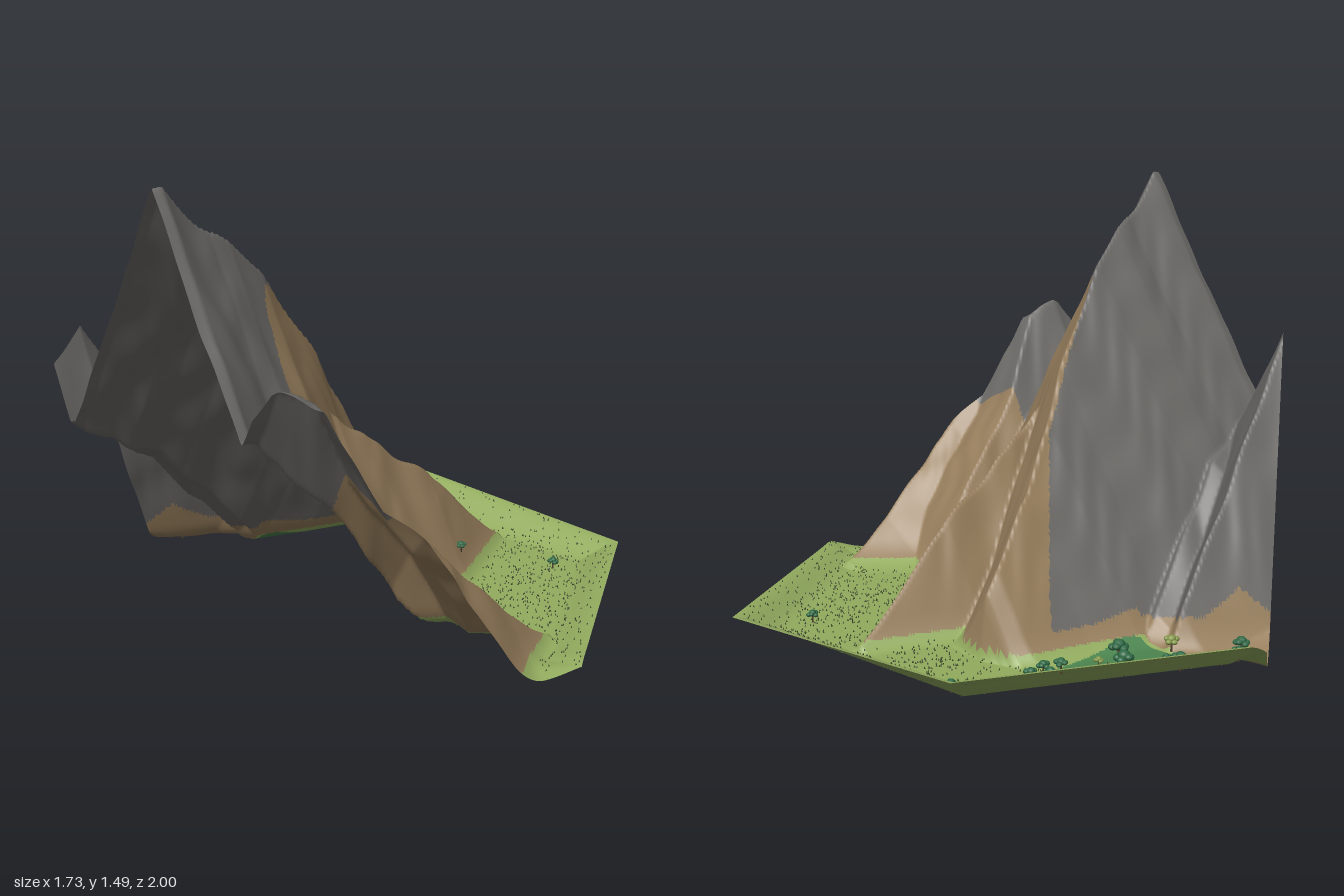
import * as THREE from 'three';
import { mergeGeometries } from 'three/addons/utils/BufferGeometryUtils.js';

const mat = (name, color, side = THREE.DoubleSide) => {
  const m = new THREE.MeshStandardMaterial({ color, side });
  m.name = name;
  return m;
};

// Linear lookup of column c in rows sorted by column 0
function lookup(rows, t, c) {
  if (t <= rows[0][0]) return rows[0][c];
  for (let i = 1; i < rows.length; i++) {
    const a = rows[i - 1], b = rows[i];
    if (t <= b[0]) return a[c] + (b[c] - a[c]) * (t - a[0]) / (b[0] - a[0]);
  }
  return rows[rows.length - 1][c];
}

// Each ridge: crest points [x, z, height], slope towards -z and towards +z
const ridge = (north, south, ...crest) => ({ north, south, crest, end: crest[crest.length - 1][0] });
const mainRidge = ridge(1.7, 1.8, [-0.87, 0.07, 1.49], [-0.83, 0.07, 1.5], [-0.64, 0.035, 1.34], [-0.55, 0.02, 1.3],
  [-0.4, -0.01, 1.19], [-0.1, -0.09, 0.86], [0.03, -0.145, 0.71], [0.2, -0.2, 0.5], [0.4, -0.25, 0.3],
  [0.45, -0.25, 0.23], [0.48, -0.25, 0]);
const spur = ridge(1.95, 1.85, [-0.3, 0.07, 0.74], [-0.15, 0.07, 0.69], [0, 0.07, 0.57], [0.3, 0.07, 0.38], [0.7, 0.07, 0.03]);
const backRidge = ridge(1.85, 2, [-0.87, -0.53, 0.93], [-0.7, -0.6, 0.97], [-0.45, -0.62, 0.64], [-0.05, -0.65, 0.15], [0.02, -0.65, 0]);
const backGully = ridge(0.8, 0.8, [-0.87, -0.4, 0.71], [-0.65, -0.43, 0.57], [-0.5, -0.45, 0.52], [-0.04, -0.55, 0.11], [0.02, -0.55, 0]);
const frontRidge = ridge(2, 0.55, [-0.87, 0.52, 0.94], [-0.8, 0.53, 0.98], [-0.69, 0.56, 0.94], [-0.5, 0.49, 0.63],
  [-0.2, 0.46, 0.33], [0, 0.47, 0]);
const frontBench = ridge(0.75, 1.65, [-0.6, 0.66, 0.66], [-0.43, 0.75, 0.49], [-0.35, 0.76, 0.43], [-0.08, 0.77, 0.18], [0.13, 0.77, 0.02]);
const ridges = [mainRidge, spur, backRidge, backGully, frontRidge, frontBench];

const S = THREE.MathUtils.smoothstep;
const edgeDistance = (x, z) =>
  0.866 - Math.max(Math.abs(x), Math.abs(x * 0.5 + z * 0.866), Math.abs(x * 0.5 - z * 0.866));

function mountain(x, z) {
  let h = -1;
  for (const r of ridges) {
    if (x > r.end) continue;
    const dz = z - lookup(r.crest, x, 1);
    h = Math.max(h, lookup(r.crest, x, 2) - (dz < 0 ? -dz * r.north : dz * r.south));
  }
  const rough = 0.008 * Math.sin(17 * x + 6 * z + 2 * Math.sin(8 * z + 3 * x))
    + 0.006 * Math.sin(29 * x - 5 * z + 2 * Math.sin(13 * z))
    + 0.003 * Math.sin(61 * z + 23 * x + 2 * Math.sin(19 * x));
  return h + rough * S(h, 0.05, 0.35);
}

// Gently dished meadow with a raised rim
function ground(x, z) {
  const rim = THREE.MathUtils.clamp(0.082 - 0.045 * z, 0.04, 0.105) * S(x, -0.12, 0.05);
  const backCorner = 0.014 * S(-x, 0, 0.15) * S(-z, 0.6, 0.85);
  return 0.019 + 0.012 * x - backCorner + rim * (1 - S(edgeDistance(x, z), 0, 0.15));
}

// Scree softens the foot of the slopes
function height(x, z) {
  const a = mountain(x, z), b = ground(x, z), k = 0.09;
  const t = Math.max(k - Math.abs(a - b), 0) / k;
  return Math.max(a, b) + t * t * k * 0.25;
}

// Where grey rock gives way to brown: [z, x limit]
const greyLimit = [[-0.83, -0.31], [-0.74, -0.24], [-0.7, -0.1], [-0.66, -0.04], [-0.5, -0.01], [-0.41, 0.31],
  [-0.36, 0.27], [-0.16, 0.04], [-0.05, -0.25], [-0.01, -0.37], [0.03, -0.42], [0.09, -0.46], [0.22, -0.49], [0.6, -0.52]];
// Where the bare back corner gives way to grass: [z, x limit]
const grassLimit = [[-1, -0.1], [-0.78, -0.05], [-0.7, 0.02], [-0.5, 0.01], [-0.48, -0.2]];
const thicket = [[-0.04, -0.79], [0, -0.81], [0.2, -0.74], [0.31, -0.66], [0.39, -0.5],
  [0.37, -0.48], [0.06, -0.52], [0.03, -0.55], [0.03, -0.71]];

function inside(poly, x, z) {
  let hit = false;
  poly.forEach(([x1, z1], i) => {
    const [x2, z2] = poly[(i + 1) % poly.length];
    if ((z1 > z) !== (z2 > z) && x < x1 + (x2 - x1) * (z - z1) / (z2 - z1)) hit = !hit;
  });
  return hit;
}

function zone(x, z) {
  const rise = mountain(x, z) - ground(x, z);
  if (rise > (x > -0.1 ? 0.08 : 0.02) && x < lookup(greyLimit, z, 1)) return 'greyRock';
  if (rise > 0.02 || (z < -0.48 && x < lookup(grassLimit, z, 1))) return 'brownRock';
  return inside(thicket, x, z) ? 'thicketFloor' : 'meadow';
}

export function createModel() {
  const model = new THREE.Group();
  model.name = 'mountainTile';
  const materials = {
    greyRock: mat('grey rock', 0x6d6b68),
    brownRock: mat('brown rock', 0x987f5d),
    meadow: mat('meadow green', 0x93ac5f),
    thicketFloor: mat('thicket green', 0x4c8550),
  };
  const add = (name, geometry, material, parent = model) => {
    const mesh = new THREE.Mesh(geometry, material);
    mesh.name = name;
    parent.add(mesh);
  };

  // Hexagonal terrain sheet on a triangular grid
  const n = 110, ids = new Map(), pos = [];
  const key = (q, r) => q * 1000 + r;
  for (let q = -n; q <= n; q++) for (let r = -n; r <= n; r++) {
    if (Math.abs(q + r) > n) continue;
    const x = r * Math.sqrt(0.75) / n, z = (q + r * 0.5) / n;
    ids.set(key(q, r), pos.length / 3);
    pos.push(x, height(x, z), z);
  }
  const faces = { greyRock: [], brownRock: [], meadow: [], thicketFloor: [] }, all = [];
  const face = (...corners) => {
    const t = corners.map(([q, r]) => ids.get(key(q, r)));
    if (t.includes(undefined)) return;
    const mid = (c) => (pos[t[0] * 3 + c] + pos[t[1] * 3 + c] + pos[t[2] * 3 + c]) / 3;
    faces[zone(mid(0), mid(2))].push(...t);
    all.push(...t);
  };
  for (let q = -n; q <= n; q++) for (let r = -n; r <= n; r++) {
    face([q, r], [q + 1, r], [q, r + 1]);
    face([q + 1, r], [q + 1, r + 1], [q, r + 1]);
  }
  const sheet = new THREE.BufferGeometry();
  sheet.setAttribute('position', new THREE.Float32BufferAttribute(pos, 3));
  sheet.setIndex(all);
  sheet.computeVertexNormals();
  for (const name in faces) {
    const g = new THREE.BufferGeometry();
    g.setAttribute('position', sheet.attributes.position);
    g.setAttribute('normal', sheet.attributes.normal);
    g.setIndex(faces[name]);
    add(name, g, materials[name]);
  }

  // Grass tufts scattered over the level meadow
  let seed = 7;
  const rand = () => (seed = (seed * 16807) % 2147483647) / 2147483647;
  const tufts = [];
  while (tufts.length < 900) {
    const x = rand() * 1.73 - 0.866, z = rand() * 2 - 1, d = edgeDistance(x, z);
    if (d < 0.01 || zone(x, z) !== 'meadow' || height(x, z) - ground(x, z) > 0.012) continue;
    if ((z < -0.4 && rand() < 0.85) || (d < 0.1 && rand() < 0.5)) continue;
    tufts.push(new THREE.ConeGeometry(0.0033, 0.008, 3, 1, true).rotateY(rand() * 6).translate(x, height(x, z) + 0.0035, z));
  }
  add('grassTufts', mergeGeometries(tufts), mat('tuft green', 0x3c4a2a));

  // Trees: [x, z, size]
  const leaf = mat('leaf green', 0x2f6a45, THREE.FrontSide), pale = mat('pale leaf', 0x879a4c, THREE.FrontSide);
  const bark = mat('bark', 0x4f3f2c, THREE.FrontSide);
  const greenTrees = [[0, -0.9, 0.8], [-0.14, -0.82, 1], [0.14, -0.78, 1], [0.23, -0.79, 0.5], [0.25, -0.645, 1.2],
    [0.31, -0.69, 0.5], [0.185, -0.575, 1.2], [0.535, -0.63, 0.8], [0.44, -0.48, 0.8], [0.465, -0.53, 0.8],
    [0.51, -0.49, 0.8], [0.75, -0.39, 0.7], [0.335, 0.2, 0.65], [0.61, 0.4, 0.75]];
  const paleTrees = [[0.02, -0.66, 0.9], [0.275, -0.565, 0.6]];
  const trunk = new THREE.CylinderGeometry(0.003, 0.005, 0.04, 6).translate(0, 0.016, 0);
  const clumps = [new THREE.IcosahedronGeometry(0.017, 1).scale(1, 0.8, 1).translate(0, 0.045, 0)];
  for (let i = 0; i < 5; i++) {
    const a = i * Math.PI * 0.4;
    clumps.push(new THREE.IcosahedronGeometry(0.012, 1).scale(1, 0.8, 1)
      .translate(Math.cos(a) * 0.017, 0.036 + (i % 2) * 0.007, Math.sin(a) * 0.017));
  }
  const crown = mergeGeometries(clumps);
  const plant = (leaves) => ([x, z, size], i) => {
    const tree = new THREE.Group();
    tree.name = 'tree';
    add('trunk', trunk, bark, tree);
    add('crown', crown, leaves, tree);
    tree.position.set(x, height(x, z), z);
    tree.rotation.y = i * 1.3;
    tree.scale.setScalar(size);
    model.add(tree);
  };
  greenTrees.forEach(plant(leaf));
  paleTrees.forEach(plant(pale));
  return model;
}
